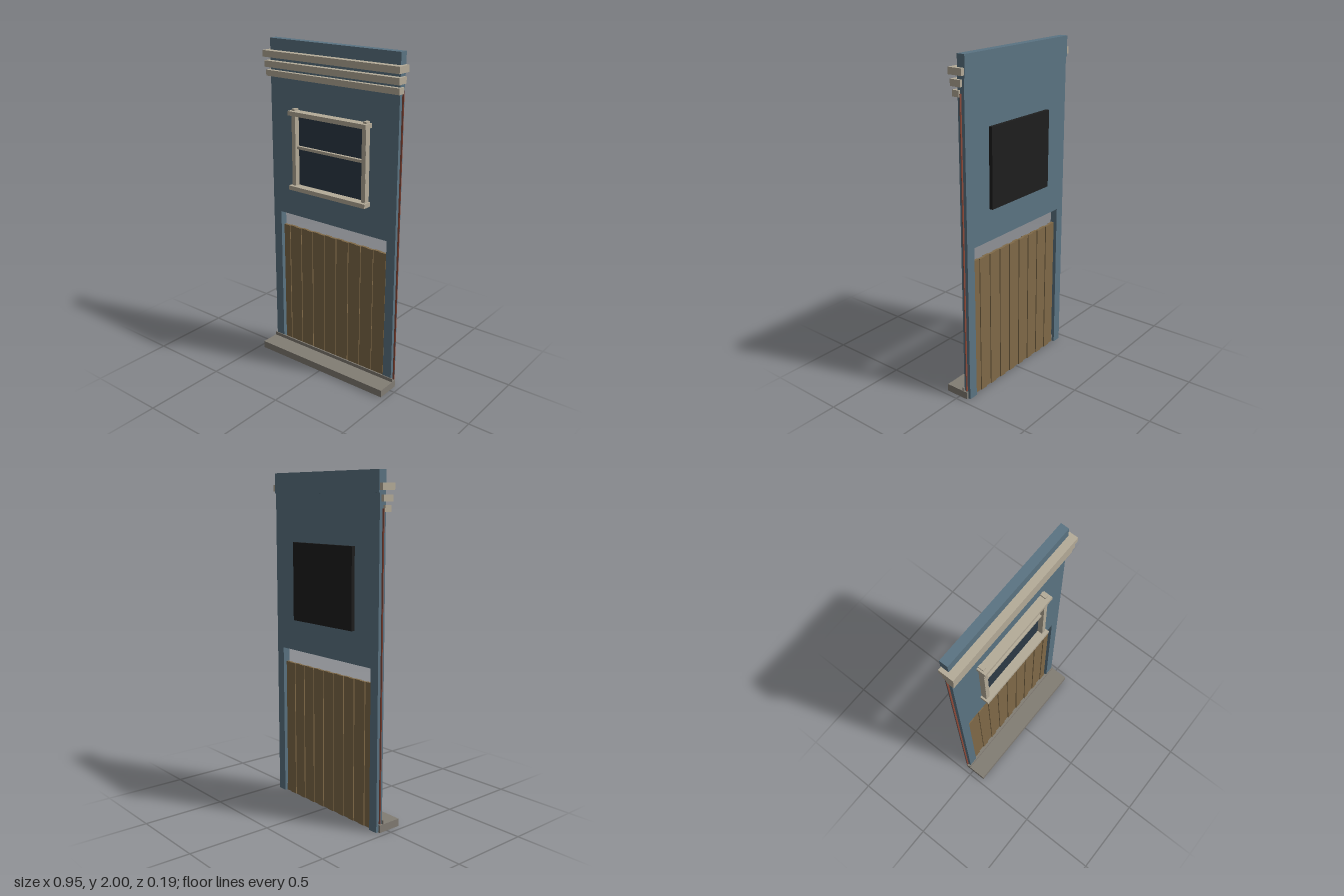
import * as THREE from 'three';

const material = (name, color) => {
  const m = new THREE.MeshStandardMaterial({ color });
  m.name = name;
  return m;
};

export function createModel() {
  const wallBlue = material('wallBlue', 0x5b7483);
  const trimCream = material('trimCream', 0xb5ac99);
  const doorWood = material('doorWood', 0x806a48);
  const stoneGrey = material('stoneGrey', 0x827d74);
  const glassDark = material('glassDark', 0x2c3a46);
  const backingBlack = material('backingBlack', 0x1e1e1e);
  const brickRed = material('brickRed', 0x8c4a3a);

  const model = new THREE.Group();
  model.name = 'facadePanel';

  // Box given by its min and max on each axis
  const box = (name, mat, [x0, x1], [y0, y1], [z0, z1], parent = model) => {
    const mesh = new THREE.Mesh(new THREE.BoxGeometry(x1 - x0, y1 - y0, z1 - z0), mat);
    mesh.position.set((x0 + x1) / 2, (y0 + y1) / 2, (z0 + z1) / 2);
    mesh.name = name;
    parent.add(mesh);
    return mesh;
  };
  const group = (name) => {
    const g = new THREE.Group();
    g.name = name;
    model.add(g);
    return g;
  };

  // Wall with the door opening cut up from the ground
  const outline = [[-0.455, 0], [-0.397, 0], [-0.397, 0.94], [0.397, 0.94], [0.397, 0],
    [0.455, 0], [0.455, 1.88], [-0.455, 1.88]];
  const wallShape = new THREE.Shape(outline.map(([x, y]) => new THREE.Vector2(x, y)));
  const wall = new THREE.Mesh(
    new THREE.ExtrudeGeometry(wallShape, { depth: 0.044, bevelEnabled: false }), wallBlue);
  wall.position.z = -0.071;
  wall.name = 'wall';
  model.add(wall);
  box('parapet', wallBlue, [-0.455, 0.455], [1.88, 2], [-0.077, -0.027]);

  // Thin brick edges showing past both sides of the wall
  for (const s of [-1, 1]) {
    const x = s * 0.46;
    box('brickEdge', brickRed, [x - 0.006, x + 0.006], [0.05, 1.8], [-0.052, -0.048]);
  }

  // Stepped cornice bars, growing towards the top
  const cornice = group('cornice');
  [
    [0.468, 1.782, 1.817, -0.045, 0.0],
    [0.472, 1.835, 1.872, -0.059, 0.009],
    [0.477, 1.894, 1.932, -0.073, 0.017],
  ].forEach(([w, y0, y1, z0, z1]) =>
    box('corniceBar', trimCream, [-w, w], [y0, y1], [z0, z1], cornice));

  // Window: glass, frame, glazing bar and rear backing
  const win = group('window');
  box('glass', glassDark, [-0.245, 0.245], [1.14, 1.58], [-0.03, -0.023], win);
  for (const s of [-1, 1]) {
    const x = s * 0.254;
    box('windowStile', trimCream, [x - 0.0135, x + 0.0135], [1.125, 1.598], [-0.03, 0.01], win);
    // Small caps poking past the rails
    const c = s * 0.257;
    box('stileCap', trimCream, [c - 0.011, c + 0.011], [1.115, 1.612], [-0.03, 0.009], win);
  }
  box('windowHead', trimCream, [-0.279, 0.279], [1.576, 1.602], [-0.03, 0.03], win);
  box('windowSill', trimCream, [-0.279, 0.279], [1.122, 1.148], [-0.03, 0.03], win);
  box('glazingBar', trimCream, [-0.245, 0.245], [1.373, 1.39], [-0.03, -0.004], win);
  box('windowBacking', backingBlack, [-0.262, 0.262], [1.13, 1.597], [-0.0925, -0.07], win);

  // Door made of upright boards, alternately set forward and back
  const door = group('door');
  const count = 17, left = -0.386, pitch = 0.772 / count;
  for (let i = 0; i < count; i++) {
    const x = left + i * pitch;
    const z = i % 2 ? -0.003 : 0.003;
    box('doorBoard', doorWood, [x, x + pitch], [0.003, 0.853], [-0.06 + z, -0.044 + z], door);
  }

  // Stone step with a low upstand against the wall
  box('step', stoneGrey, [-0.468, 0.468], [0, 0.045], [-0.055, 0.0925]);
  box('stepUpstand', stoneGrey, [-0.467, 0.467], [0.04, 0.067], [-0.03, -0.022]);

  return model;
}
